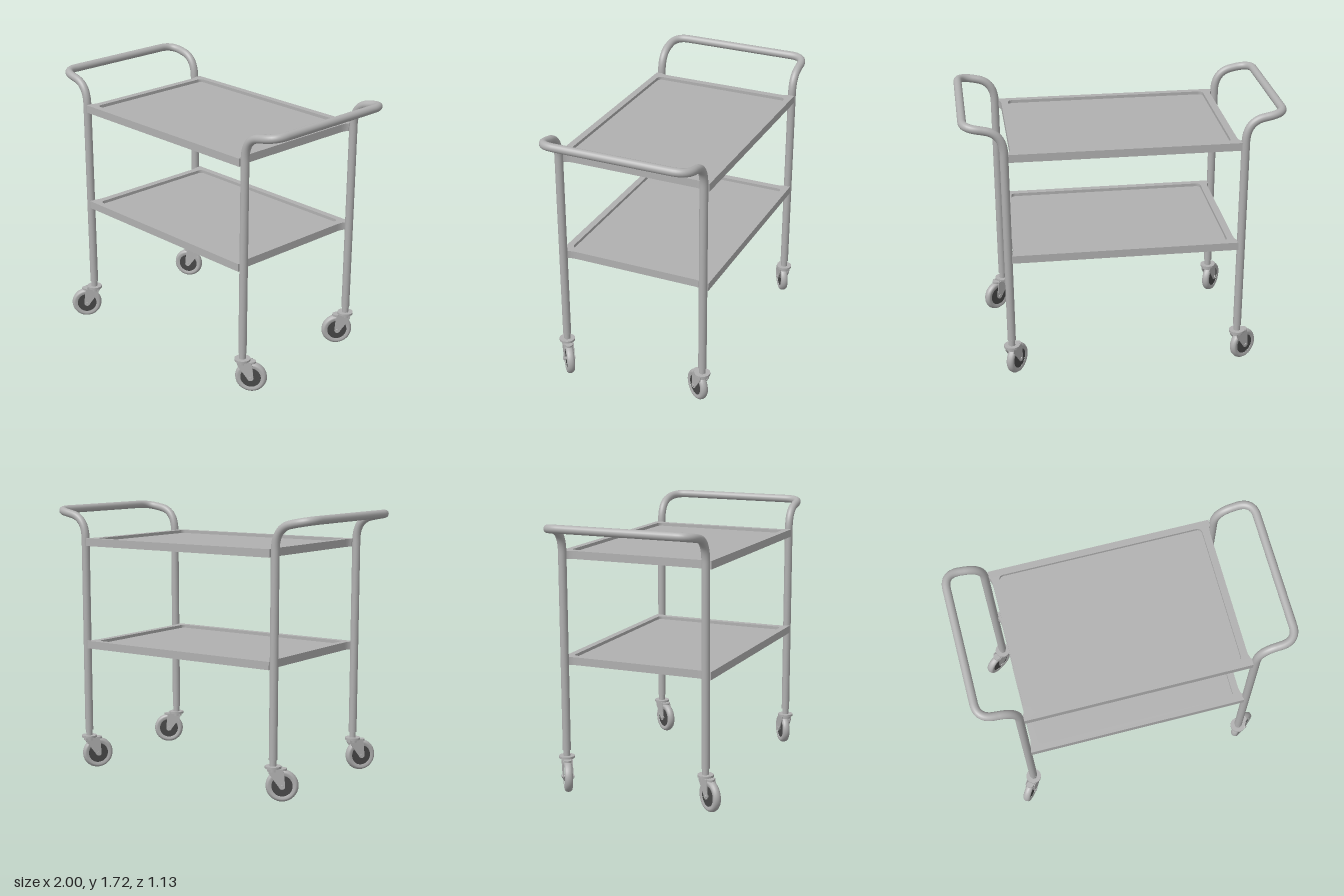
import * as THREE from 'three';

const metal = new THREE.MeshStandardMaterial({ color: 0xb0b0b0 });
metal.name = 'grey metal';
const dark = new THREE.MeshStandardMaterial({ color: 0x484848 });
dark.name = 'dark hub';

const MID_Z = -0.045; // middle of the frame
const LEG_X = 0.73, LEG_Z = 0.475, TUBE_R = 0.026;

function add(parent, name, geometry, material = metal, x = 0, y = 0, z = 0) {
  const mesh = new THREE.Mesh(geometry, material);
  mesh.name = name;
  mesh.position.set(x, y, z);
  parent.add(mesh);
  return mesh;
}

// Two legs and the push handle as one bent tube
function tubeFrame(side) {
  const v = (x, y, z) => new THREE.Vector3(side * x, y, z);
  const path = new THREE.CurvePath();
  const line = (a, b) => path.add(new THREE.LineCurve3(a, b));
  const bend = (a, c, b) => path.add(new THREE.QuadraticBezierCurve3(a, c, b));
  const z = LEG_Z, hx = 0.973, hy = 1.698;
  line(v(LEG_X - 0.002, 0.26, z), v(0.735, 1.52, z));
  bend(v(0.735, 1.52, z), v(0.737, 1.655, z), v(0.85, 1.675, z));
  line(v(0.85, 1.675, z), v(0.873, 1.68, z));
  bend(v(0.873, 1.68, z), v(hx, hy, z), v(hx, hy, z - 0.1));
  line(v(hx, hy, z - 0.1), v(hx, hy, 0.1 - z));
  bend(v(hx, hy, 0.1 - z), v(hx, hy, -z), v(0.873, 1.68, -z));
  line(v(0.873, 1.68, -z), v(0.85, 1.675, -z));
  bend(v(0.85, 1.675, -z), v(0.737, 1.655, -z), v(0.735, 1.52, -z));
  line(v(0.735, 1.52, -z), v(LEG_X - 0.002, 0.26, -z));
  return new THREE.TubeGeometry(path, 260, TUBE_R, 20, false);
}

// Tray outline, widening to meet the legs at the corners
function trayOutline() {
  const s = new THREE.Shape();
  s.moveTo(-0.71, -0.5);
  s.lineTo(0.71, -0.5);
  s.lineTo(0.71, -0.46);
  s.quadraticCurveTo(0.695, -0.44, 0.695, -0.4);
  s.lineTo(0.695, 0.4);
  s.quadraticCurveTo(0.695, 0.44, 0.71, 0.46);
  s.lineTo(0.71, 0.5);
  s.lineTo(-0.71, 0.5);
  s.lineTo(-0.71, 0.46);
  s.quadraticCurveTo(-0.695, 0.44, -0.695, 0.4);
  s.lineTo(-0.695, -0.4);
  s.quadraticCurveTo(-0.695, -0.44, -0.71, -0.46);
  s.closePath();
  return s;
}

function roundedHole(w, h, r) {
  const p = new THREE.Path();
  p.moveTo(w - r, -h);
  p.absarc(w - r, -h + r, r, -Math.PI / 2, 0);
  p.absarc(w - r, h - r, r, 0, Math.PI / 2);
  p.absarc(-w + r, h - r, r, Math.PI / 2, Math.PI);
  p.absarc(-w + r, -h + r, r, Math.PI, Math.PI * 1.5);
  p.closePath();
  return p;
}

function slab(hole, depth) {
  const s = trayOutline();
  s.holes.push(hole);
  return new THREE.ExtrudeGeometry(s, { depth, bevelEnabled: false, curveSegments: 8 }).rotateX(-Math.PI / 2);
}

function tray(name, y) {
  const g = new THREE.Group();
  g.name = name;
  g.position.y = y;
  add(g, 'traySkirt', slab(roundedHole(0.68, 0.485, 0.01), 0.03));
  add(g, 'trayRim', slab(roundedHole(0.65, 0.457, 0.03), 0.02), metal, 0, 0.03);
  add(g, 'trayFloor', new THREE.BoxGeometry(1.37, 0.012, 0.98), metal, 0, 0.024);
  add(g, 'trayRib', new THREE.BoxGeometry(0.03, 0.012, 0.97), metal, 0, 0.013);
  return g;
}

// Swivel caster, trailing along its own +x
function caster(name, x, z, dx, dz) {
  const g = new THREE.Group();
  g.name = name;
  g.position.set(x, 0, z);
  g.rotation.y = Math.atan2(-dz, dx);
  const trail = 0.055, cyl = (r, h, n = 28) => new THREE.CylinderGeometry(r, r, h, n);

  add(g, 'legPlug', cyl(TUBE_R, 0.01), metal, 0, 0.262);
  add(g, 'stem', cyl(0.021, 0.06), metal, 0, 0.235);
  add(g, 'swivelPlate', cyl(0.05, 0.014, 36), metal, 0, 0.213);
  add(g, 'swivelBearing', cyl(0.036, 0.02), metal, 0, 0.198);
  add(g, 'forkCap', cyl(0.025, 0.012), metal, trail + 0.005, 0.201);

  // Rounded tyre
  const profile = [[0.064, -0.02], [0.08, -0.025], [0.09, -0.022], [0.097, -0.013], [0.1, 0],
    [0.097, 0.013], [0.09, 0.022], [0.08, 0.025], [0.064, 0.02]].map(p => new THREE.Vector2(...p));
  add(g, 'tyre', new THREE.LatheGeometry(profile, 40).rotateX(Math.PI / 2), metal, trail, 0.1);
  add(g, 'hub', cyl(0.066, 0.036, 36).rotateX(Math.PI / 2), dark, trail, 0.1);
  add(g, 'axle', cyl(0.011, 0.078, 16).rotateX(Math.PI / 2), metal, trail, 0.1);

  // Tapered fork plates on both sides of the wheel
  const s = new THREE.Shape();
  s.moveTo(-0.03, 0.207);
  s.lineTo(-0.026, 0.18);
  s.lineTo(trail - 0.019, 0.095);
  s.absarc(trail, 0.1, 0.019, Math.PI * 1.08, Math.PI * 2.08);
  s.lineTo(trail + 0.012, 0.18);
  s.lineTo(trail + 0.005, 0.207);
  s.closePath();
  const plate = new THREE.ExtrudeGeometry(s, { depth: 0.006, bevelEnabled: false });
  for (const pz of [0.027, -0.033]) add(g, 'forkPlate', plate, metal, 0, 0, pz);
  return g;
}

export function createModel() {
  const model = new THREE.Group();
  model.name = 'serviceTrolley';

  const frame = new THREE.Group();
  frame.name = 'frame';
  frame.position.z = MID_Z;
  add(frame, 'leftLegsAndHandle', tubeFrame(1));
  add(frame, 'rightLegsAndHandle', tubeFrame(-1));
  frame.add(tray('upperTray', 1.475), tray('lowerTray', 0.805));
  model.add(frame);

  // Casters, each swivelled its own way
  const front = MID_Z + LEG_Z, back = MID_Z - LEG_Z, cx = LEG_X - 0.002;
  model.add(
    caster('frontLeftCaster', cx, front, 0.8, -0.6),
    caster('frontRightCaster', -cx, front, -0.6, 0.8),
    caster('backLeftCaster', cx, back, -0.6, 0.8),
    caster('backRightCaster', -cx, back, -0.84, 0.54),
  );
  return model;
}
